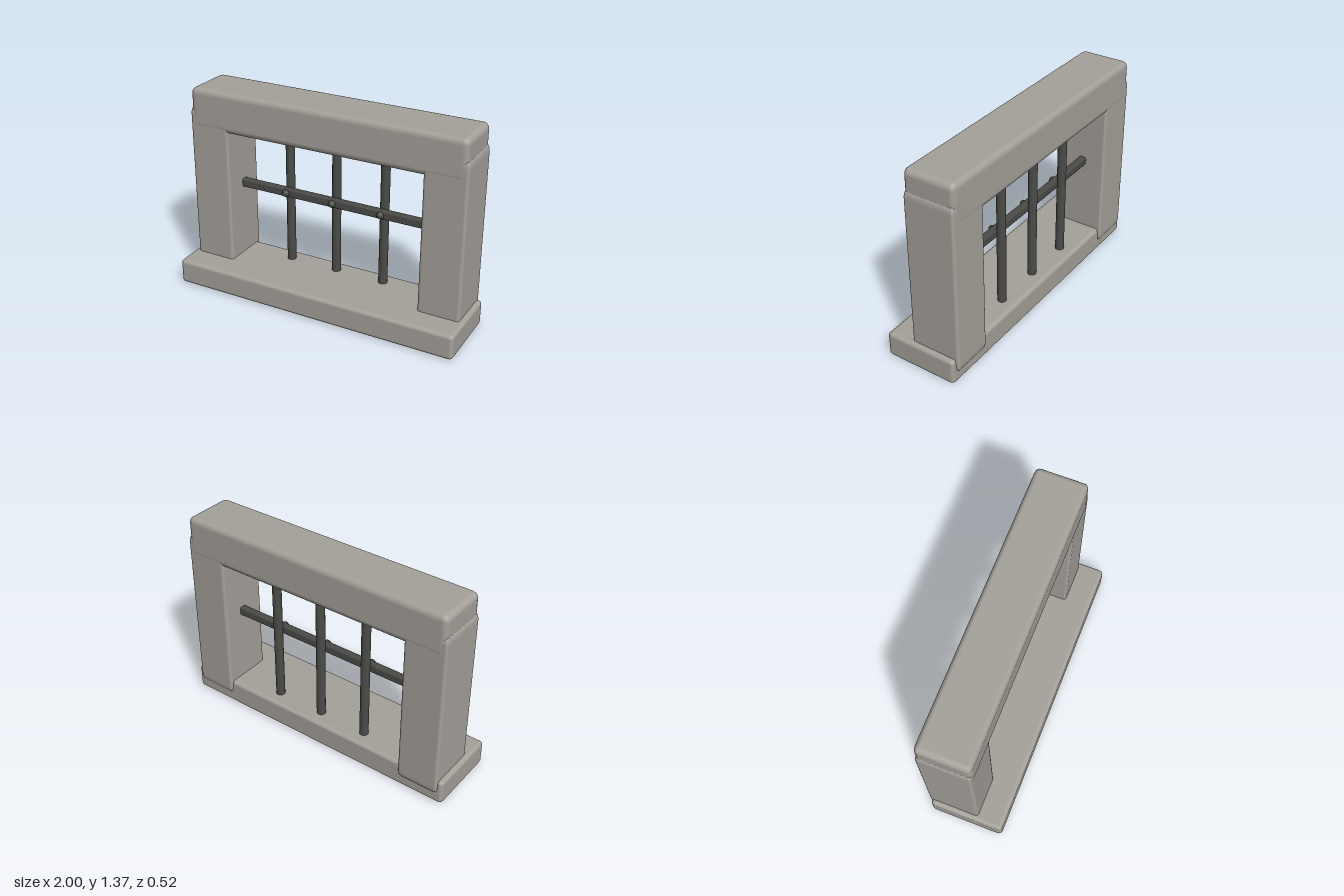
import * as THREE from 'three';
import { RoundedBoxGeometry } from 'three/addons/geometries/RoundedBoxGeometry.js';

// Box spanning min..max with a separate edge bevel size along each axis
function bevelledBox(min, max, bevel, segments = 2) {
  const size = max.map((m, i) => m - min[i]);
  const g = new RoundedBoxGeometry(...size.map((s, i) => s / bevel[i]), segments, 1);
  g.scale(...bevel);
  g.translate(...max.map((m, i) => (m + min[i]) / 2));
  return g;
}

export function createModel() {
  const model = new THREE.Group();
  const stone = new THREE.MeshStandardMaterial({ color: 0xa5a19a });
  stone.name = 'stone';
  const iron = new THREE.MeshStandardMaterial({ color: 0x4b4b48 });
  iron.name = 'iron';

  const add = (name, geometry, material) => {
    const mesh = new THREE.Mesh(geometry, material);
    mesh.name = name;
    model.add(mesh);
    return mesh;
  };

  // Stone frame
  add('sill', bevelledBox([-1, 0, -0.24], [1, 0.173, 0.26], [0.025, 0.025, 0.03]), stone);
  add('lintel', bevelledBox([-0.957, 1.09, -0.26], [0.957, 1.366, 0.087], [0.04, 0.042, 0.032]), stone);
  add('leftJamb', bevelledBox([0.685, 0.08, -0.258], [0.967, 1.23, 0.085], [0.02, 0.05, 0.018]), stone);
  add('rightJamb', bevelledBox([-0.967, 0.08, -0.258], [-0.685, 1.23, 0.085], [0.02, 0.05, 0.018]), stone);

  // Crossbar in front of the uprights
  add('crossbar', bevelledBox([-0.72, 0.658, -0.12], [0.72, 0.717, -0.07], [0.012, 0.012, 0.012], 1), iron);

  // Round uprights, each fixed to the crossbar with a rivet
  for (const x of [-0.345, 0, 0.345]) {
    const bar = add('upright', new THREE.CylinderGeometry(0.03, 0.03, 1, 16), iron);
    bar.position.set(x, 0.63, -0.135);
    const rivet = add('rivet', new THREE.SphereGeometry(0.025, 14, 10), iron);
    rivet.position.set(x, 0.688, -0.068);
  }
  return model;
}
